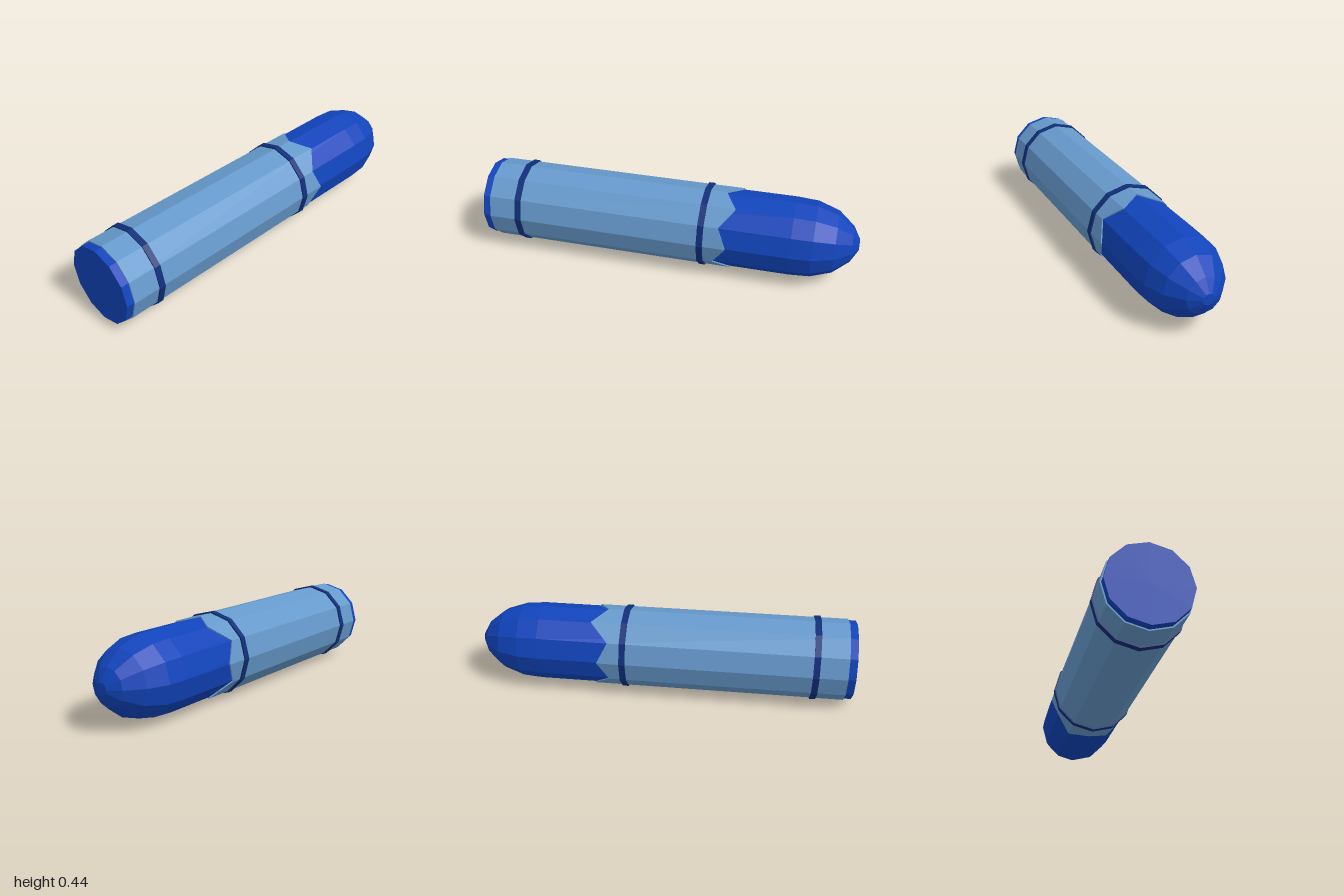
import * as THREE from 'three';

const SIDES = 12;
const CORE_R = 0.207, WRAP_R = 0.214, BAND_R = 0.2215;

// Twelve-sided solid of revolution along z; profile points are [radius, z], front to back
function turned(profile) {
  const points = profile.map(([r, z]) => new THREE.Vector2(r, -z));
  return new THREE.LatheGeometry(points, SIDES).rotateX(-Math.PI / 2);
}

export function createModel() {
  const waxBlue = new THREE.MeshStandardMaterial({ color: 0x1144bb, flatShading: true });
  const paperBlue = new THREE.MeshStandardMaterial({ color: 0x6699cc, flatShading: true });
  const bandNavy = new THREE.MeshStandardMaterial({ color: 0x0f2f78, flatShading: true });
  waxBlue.name = 'waxBlue';
  paperBlue.name = 'paperBlue';
  bandNavy.name = 'bandNavy';

  const group = new THREE.Group();
  group.name = 'crayon';
  const add = (name, geometry, material) => {
    const mesh = new THREE.Mesh(geometry, material);
    mesh.name = name;
    mesh.position.y = BAND_R;
    group.add(mesh);
  };

  // Wax stick with a flat front end and a rounded tip at the back
  add('waxStick', turned([
    [0, 1], [CORE_R, 1], [CORE_R, -0.66], [0.2, -0.77],
    [0.163, -0.88], [0.094, -0.963], [0.03, -1], [0, -1],
  ]), waxBlue);

  // Paper sleeve, its back edge torn to a different z at each corner (clockwise from the top)
  const torn = [-0.3, -0.365, -0.29, -0.335, -0.265, -0.35,
    -0.31, -0.367, -0.275, -0.335, -0.28, -0.378];
  const sleeve = turned([[CORE_R, 0.96], [WRAP_R, 0.96], [WRAP_R, -0.3], [CORE_R, -0.3]]);
  const pos = sleeve.attributes.position;
  for (let i = 0; i <= SIDES; i++) {
    for (const j of [2, 3]) pos.setZ(i * 4 + j, torn[i % SIDES]);
  }
  sleeve.computeVertexNormals();
  add('paperSleeve', sleeve, paperBlue);

  // Raised dark bands
  for (const [name, z] of [['frontBand', 0.8], ['backBand', -0.2]]) {
    add(name, turned([
      [CORE_R, z + 0.016], [BAND_R, z + 0.016], [BAND_R, z - 0.016], [CORE_R, z - 0.016],
    ]), bandNavy);
  }

  return group;
}
